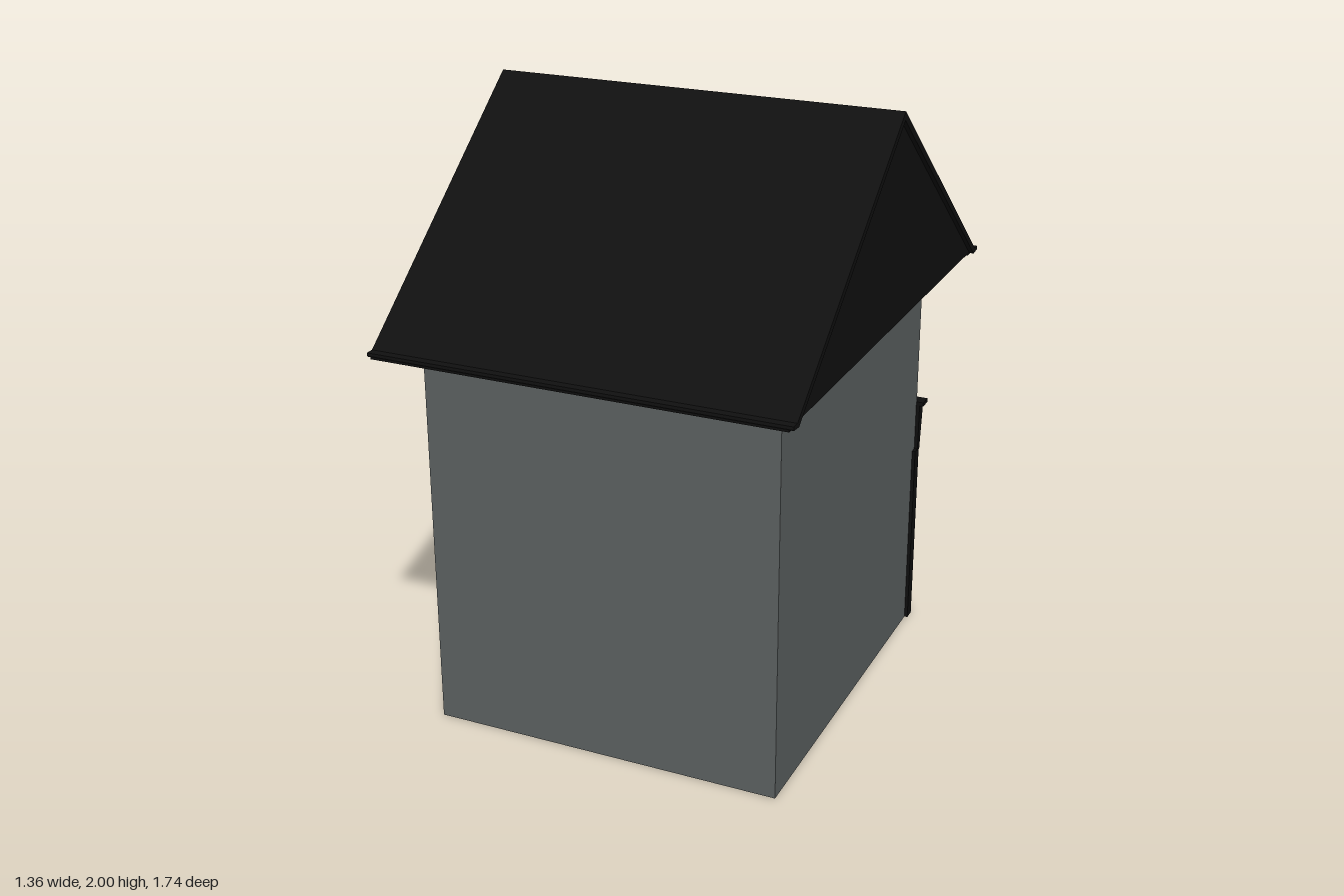
import * as THREE from 'three';

const mat = (name, color, side = THREE.FrontSide) => {
  const m = new THREE.MeshStandardMaterial({ color, side });
  m.name = name;
  return m;
};

export function createModel() {
  const house = new THREE.Group();
  house.name = 'house';
  const wall = mat('wall grey', 0x5c6161);
  const roofMat = mat('roof black', 0x101010);
  const trim = mat('trim black', 0x0e0e0e);
  const glass = mat('dark glass', 0x0a0a0a);
  const pipeMat = mat('pipe grey', 0x5a5d5d);

  const add = (name, geo, m) => {
    const mesh = new THREE.Mesh(geo, m);
    mesh.name = name;
    house.add(mesh);
    return mesh;
  };
  // Box given by its limits; x limits may come in either order
  const box = (name, m, xa, xb, y0, y1, z0, z1) => {
    const g = new THREE.BoxGeometry(Math.abs(xb - xa), y1 - y0, z1 - z0);
    g.translate((xa + xb) / 2, (y0 + y1) / 2, (z0 + z1) / 2);
    return add(name, g, m);
  };
  // Profile of [z, y] points swept along x
  const sweep = (name, m, pts, x0, x1) => {
    const s = new THREE.Shape(pts.map(([z, y]) => new THREE.Vector2(-z, y)));
    const g = new THREE.ExtrudeGeometry(s, { depth: x1 - x0, bevelEnabled: false });
    g.rotateY(Math.PI / 2).translate(x0, 0, 0);
    return add(name, g, m);
  };

  const CX = -0.0125, L = -0.6, R = 0.575, B = -0.59, F = 0.69, TOP = 1.312;

  // Main walls, hollow and open below
  box('frontWall', wall, L, R, 0, TOP, F - 0.1, F);
  box('leftWall', wall, R - 0.1, R, 0, TOP, B, F - 0.1);
  box('rightWall', wall, L, L + 0.1, 0, TOP, B, F - 0.1);
  box('upperBackWall', wall, L + 0.1, R - 0.1, 0.65, TOP, B, B + 0.1);

  // Gable roof: solid core, overlapping slopes, gutters
  sweep('roofGable', roofMat, [[-0.84, 1.315], [0, 1.985], [0.84, 1.315]], -0.665, 0.665);
  sweep('roofSlopes', roofMat,
    [[-0.87, 1.316], [-0.845, 1.326], [0, 2], [0.845, 1.326], [0.87, 1.316], [0.83, 1.312], [0, 1.972], [-0.83, 1.312]],
    -0.68, 0.68);
  for (const s of [-1, 1]) {
    box('gutter', trim, -0.68, 0.66, 1.302, 1.32, s * 0.842 - 0.012, s * 0.842 + 0.012);
    box('eaveLip', roofMat, -0.68, 0.68, 1.318, 1.328, s * 0.85 - 0.02, s * 0.85 + 0.02);
  }

  // Shopfront, mirrored on both sides of the entry
  for (const s of [-1, 1]) {
    const x = (u) => CX + s * u;
    const bay = (name, y0, y1) => {
      box(name, wall, x(0.18), x(0.4875), y0, y1, B, B + 0.1);
      box(name + 'Return', wall, x(0.18), x(0.28), y0, y1, B + 0.1, -0.24);
    };
    bay('stallRiser', 0, 0.14);
    bay('bayHead', 0.53, 0.65);
    box('bayJamb', wall, x(0.445), x(0.4875), 0.14, 0.53, B, B + 0.1);
    box('returnJamb', wall, x(0.18), x(0.28), 0.14, 0.53, -0.3, -0.24);
    box('entryBackWall', wall, x(0.06), x(0.28), 0, 0.65, -0.24, -0.14);
    // Corner shop window
    box('shopWindow', glass, x(0.186), x(0.445), 0.14, 0.53, B + 0.006, B + 0.014);
    box('returnWindow', glass, x(0.186), x(0.194), 0.14, 0.53, B + 0.014, -0.3);
    box('windowCornerPost', trim, x(0.181), x(0.196), 0.14, 0.53, B + 0.001, B + 0.016);
    // Sill and lintel wrapping into the entry
    for (const [n, y0, y1, d] of [['shopSill', 0.132, 0.146, 0.008], ['shopLintel', 0.535, 0.585, 0.014]]) {
      box(n, trim, x(0.18 - d), x(0.455), y0, y1, B - d, B + 0.006);
      box(n + 'Return', trim, x(0.18 - d), x(0.186), y0, y1, B + 0.006, -0.25);
    }
    // Paired pilasters
    box('outerPilaster', trim, x(0.545), x(0.5985), 0, 0.655, -0.602, -0.562);
    box('innerPilaster', trim, x(0.5), x(0.525), 0, 0.65, -0.6, B + 0.005);
  }
  box('entryCeiling', wall, CX - 0.18, CX + 0.18, 0.62, 0.65, B, -0.24);
  box('door', trim, CX - 0.06, CX + 0.06, 0, 0.56, -0.2, -0.18);
  box('doorHead', wall, CX - 0.06, CX + 0.06, 0.56, 0.65, -0.24, -0.14);

  // Sloped fascia with cornice
  sweep('fascia', trim, [[-0.585, 0.65], [-0.605, 0.65], [-0.626, 0.82], [-0.585, 0.82]], -0.612, 0.587);
  box('fasciaCornice', trim, -0.625, 0.6, 0.818, 0.832, -0.632, -0.585);

  // Upper sash windows
  for (const s of [-1, 1]) {
    const c = CX + s * 0.295;
    box('upperGlass', glass, c - 0.13, c + 0.13, 0.88, 1.22, B - 0.004, B + 0.003);
    box('upperSill', trim, c - 0.155, c + 0.155, 0.866, 0.884, -0.62, B + 0.003);
    box('upperLintel', trim, c - 0.155, c + 0.155, 1.212, 1.232, -0.616, B + 0.003);
    for (const u of [-0.125, 0.125]) {
      box('windowFrame', trim, c + u - 0.012, c + u + 0.012, 0.88, 1.22, -0.604, B + 0.003);
    }
    box('mullion', trim, c - 0.005, c + 0.005, 0.88, 1.22, -0.6, B);
    box('meetingRail', trim, c - 0.125, c + 0.125, 1.04, 1.056, -0.602, B);
  }

  // Drainpipe with collars
  const pipe = (name, r, y0, y1) =>
    add(name, new THREE.CylinderGeometry(r, r, y1 - y0, 12).translate(-0.53, (y0 + y1) / 2, -0.602), pipeMat);
  pipe('drainpipe', 0.013, 0.83, TOP);
  for (const y of [0.88, 1.04, 1.2]) pipe('pipeCollar', 0.017, y, y + 0.015);

  return house;
}
